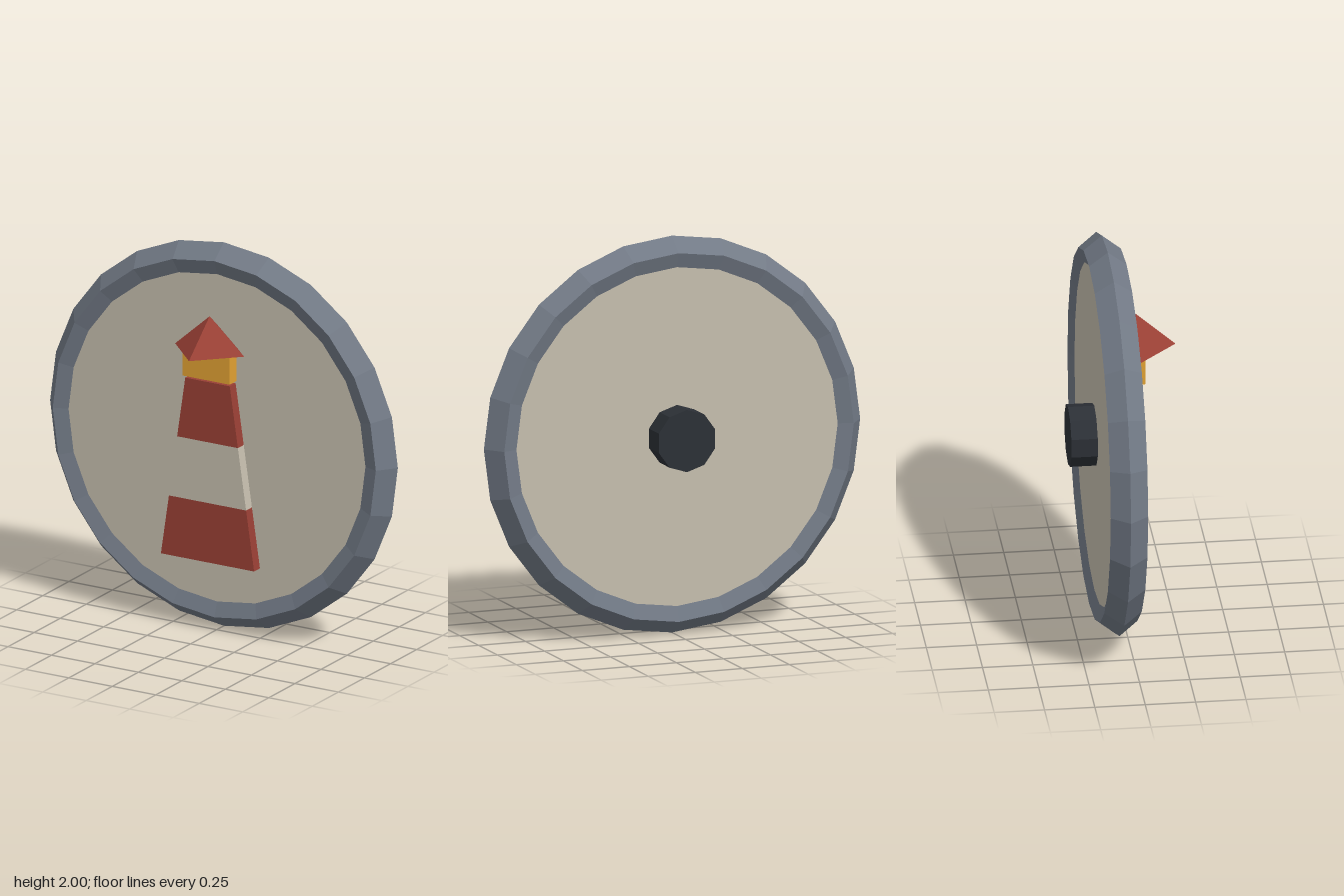
import * as THREE from 'three';

const RED = 0x9a4035, CREAM = 0xc6beae, STEEL = 0x727a86, AMBER = 0xe2a233, DARK = 0x2c3036;
const MID_Z = -0.07; // middle plane of the shield

export function createModel() {
  const model = new THREE.Group();
  model.name = 'lighthouseShield';

  const add = (name, geometry, color, x, y, z, parent = model) => {
    const material = new THREE.MeshStandardMaterial({ color, flatShading: true });
    const mesh = new THREE.Mesh(geometry, material);
    mesh.name = name;
    mesh.position.set(x, y, z);
    parent.add(mesh);
    return mesh;
  };

  // Round board
  const board = new THREE.CylinderGeometry(0.88, 0.88, 0.134, 24).rotateX(Math.PI / 2);
  add('board', board, CREAM, 0, 1, MID_Z);

  // Metal rim: ridged outside, gently sloping onto the board on both faces
  const profile = [[0.79, -0.045], [0.929, -0.093], [1, 0], [0.929, 0.093], [0.79, 0.045]]
    .map(([r, h]) => new THREE.Vector2(r, h));
  const rim = new THREE.LatheGeometry(profile, 24).rotateX(Math.PI / 2);
  add('rim', rim, STEEL, 0, 1, MID_Z);

  // Grip boss on the back
  const boss = new THREE.CylinderGeometry(0.157, 0.157, 0.148, 10).rotateX(Math.PI / 2);
  add('backBoss', boss, DARK, 0, 1.003, -0.194);

  // Lighthouse emblem
  const lighthouse = new THREE.Group();
  lighthouse.name = 'lighthouse';
  model.add(lighthouse);

  // Tapered tower in three striped bands
  const levels = [0.377, 0.687, 1.004, 1.318];
  const halfWidth = (y) => THREE.MathUtils.mapLinear(y, levels[0], levels[3], 0.268, 0.128);
  for (let i = 0; i < 3; i++) {
    const y0 = levels[i], y1 = levels[i + 1];
    const w0 = halfWidth(y0), w1 = halfWidth(y1);
    const band = new THREE.Shape([
      new THREE.Vector2(-w0, y0), new THREE.Vector2(w0, y0),
      new THREE.Vector2(w1, y1), new THREE.Vector2(-w1, y1),
    ]);
    const geometry = new THREE.ExtrudeGeometry(band, { depth: 0.056, bevelEnabled: false });
    add('towerBand' + (i + 1), geometry, i === 1 ? CREAM : RED, 0, 0, 0.032, lighthouse);
  }

  // Lantern room and pointed roof
  add('lantern', new THREE.BoxGeometry(0.272, 0.15, 0.066), AMBER, 0, 1.407, 0.069, lighthouse);
  add('roof', new THREE.ConeGeometry(0.198, 0.176, 4), RED, 0, 1.567, 0.068, lighthouse);

  return model;
}
